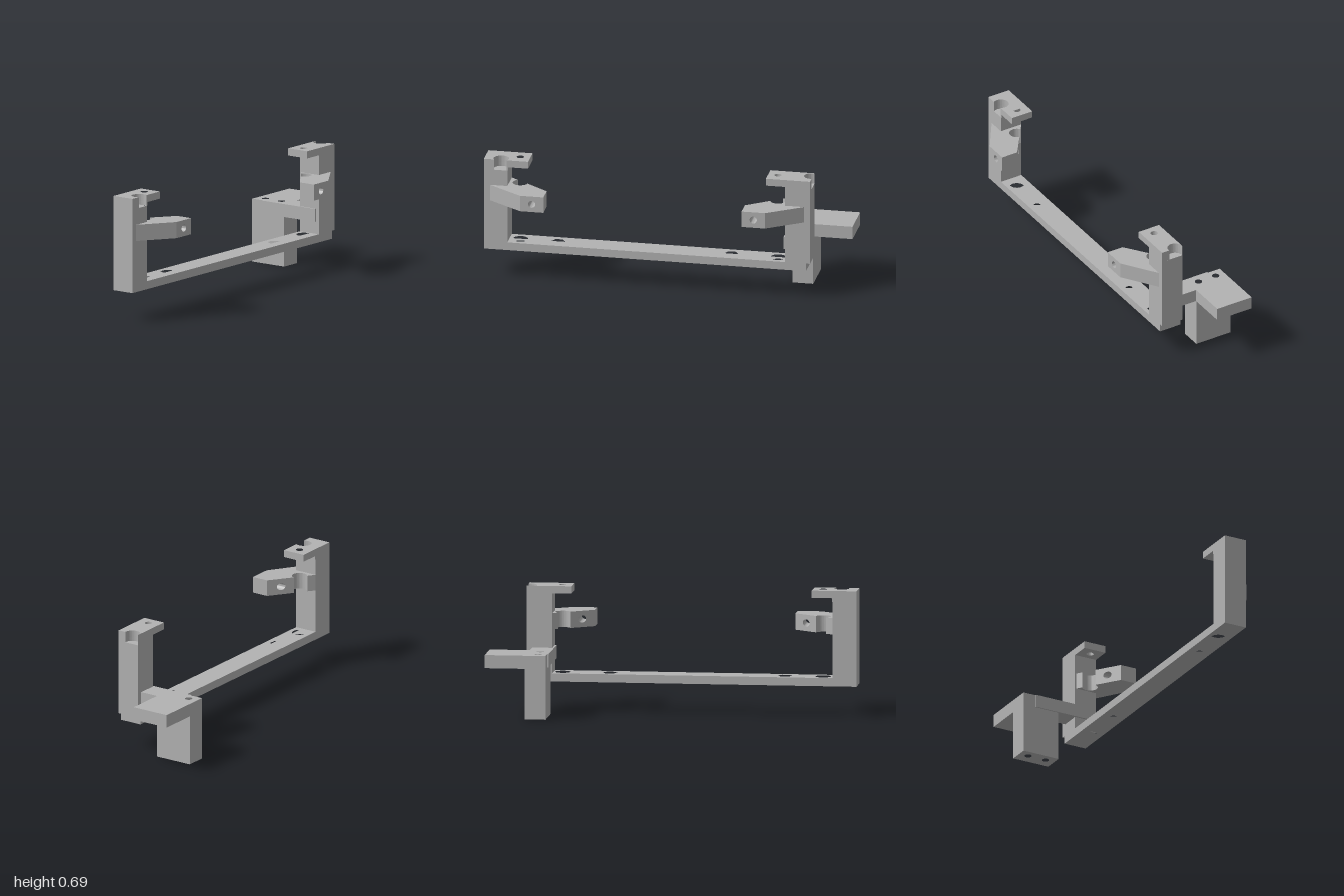
import * as THREE from 'three';
import { toCreasedNormals } from 'three/addons/utils/BufferGeometryUtils.js';

const X0 = 0.03, X1 = 0.16, XC = 0.095; // bar sides and centre line
const ACCESS_R = 0.042, SCREW_R = 0.02;

// Points [x, z] along an arc
function arc(cx, cz, r, a0, a1, n = 28) {
  return Array.from({ length: n + 1 }, (_, i) => {
    const a = a0 + (a1 - a0) * i / n;
    return [cx + r * Math.cos(a), cz + r * Math.sin(a)];
  });
}
const circle = (cx, cz, r, n = 28) => arc(cx, cz, r, 0, 2 * Math.PI, n).slice(0, n);
const hexagon = (cx, cz, r) => arc(cx, cz, r, Math.PI / 2, Math.PI * 2.5, 6).slice(0, 6);
const rect = (x0, x1, z0, z1) => [[x0, z0], [x1, z0], [x1, z1], [x0, z1]];
const toVectors = (pts) => pts.map(([a, b]) => new THREE.Vector2(a, -b));

export function createModel() {
  const model = new THREE.Group();
  model.name = 'mountingBracket';
  const grey = new THREE.MeshStandardMaterial({ color: 0xb2b2b2 });
  grey.name = 'grey';

  function add(name, geometry, parent = model) {
    const mesh = new THREE.Mesh(toCreasedNormals(geometry, 0.5), grey);
    mesh.name = name;
    parent.add(mesh);
  }
  function outline(pts, holes) {
    const shape = new THREE.Shape(toVectors(pts));
    holes.forEach((h) => shape.holes.push(new THREE.Path(toVectors(h))));
    return shape;
  }
  // Plan outline in x, z raised from y0 to y1
  function slab(name, y0, y1, pts, holes = [], parent = model) {
    const g = new THREE.ExtrudeGeometry(outline(pts, holes), { depth: y1 - y0, bevelEnabled: false });
    g.rotateX(-Math.PI / 2).translate(0, y0, 0);
    add(name, g, parent);
  }

  // Long base bar: nut pockets above, screw holes below
  const bar = rect(X0, X1, -0.787, 1);
  const access = [0.81, -0.62].map((z) => circle(XC, z, ACCESS_R));
  const nuts = [0.6, -0.36];
  slab('baseBarLower', 0.165, 0.185, bar, [...access, ...nuts.map((z) => circle(XC, z, SCREW_R))]);
  slab('baseBarUpper', 0.185, 0.21, bar, [...access, ...nuts.map((z) => hexagon(XC, z, 0.04))]);

  // Front post, its notched cap and overhanging lip
  const frontNotch = arc(0.136, 0.908, 0.042, -0.963, 0.963 - 2 * Math.PI);
  const frontCap = (z) => [[X0, z], [X1, z], ...frontNotch, [X1, 1], [X0, 1]];
  slab('frontPost', 0.21, 0.63, rect(X0, X1, 0.87, 1));
  slab('frontPostCap', 0.63, 0.65, frontCap(0.865));
  slab('frontLip', 0.65, 0.69, frontCap(0.755), [circle(XC, 0.81, SCREW_R)]);

  // Back post, notched through its rear face
  const backNotch = arc(0.0735, -0.803, 0.042, -0.167, Math.PI + 0.167);
  const backCap = (z) => [[X0, z], [X1, z], [X1, -0.81], ...backNotch, [X0, -0.81]];
  slab('backPost', 0.21, 0.63, rect(X0, X1, -0.81, -0.67));
  slab('backPostCap', 0.63, 0.65, backCap(-0.67));
  slab('backLip', 0.65, 0.69, backCap(-0.565), [circle(XC, -0.62, SCREW_R)]);

  // Angled arms, the back one mirrored in z
  const inner = (z) => 0.195 - (z - 0.645) * 0.733;
  function arm(name, flip) {
    const group = new THREE.Group();
    group.name = name;
    model.add(group);
    const mapZ = (z) => (flip ? 0.19 - z : z); // its own inverse
    const place = (pts) => pts.map(([x, z]) => [x, mapZ(z)]);
    const y0 = 0.45, y1 = 0.54, za = 0.675, zb = 0.745;

    slab('armTip', y0, y1, place([[inner(0.645), 0.645], [0.29, 0.645], [0.29, za], [inner(za), za]]), [], group);

    // Root with a rounded groove where the access hole passes
    slab('armRoot', y0, y1, place([
      [inner(zb), zb], ...arc(XC, 0.81, ACCESS_R, -1.354, 2.618),
      [X0, 0.87], [X0, 0.9], [X1, 0.967], [0.29, 0.775], [0.29, zb],
    ]), [], group);

    // Drilled middle: sheared so its inner end follows the slope
    const face = new THREE.Shape([[za, y0], [zb, y0], [zb, y1], [za, y1]]
      .map(([z, y]) => new THREE.Vector2(-mapZ(z), y)));
    face.holes.push(new THREE.Path().absarc(-mapZ(0.71), 0.495, SCREW_R, 0, 2 * Math.PI));
    const g = new THREE.ExtrudeGeometry(face, { depth: 1, bevelEnabled: false, curveSegments: 28 });
    g.rotateY(Math.PI / 2);
    const p = g.attributes.position;
    for (let i = 0; i < p.count; i++) {
      p.setX(i, p.getX(i) > 0.5 ? 0.29 : inner(mapZ(p.getZ(i))));
    }
    g.computeVertexNormals();
    add('armDrilledSection', g, group);
  }
  arm('frontArm', false);
  arm('backArm', true);

  // Side bracket: shelf joined to the back post, and drilled leg
  const legHoles = [-0.24, -0.13].map((x) => circle(x, -0.715, SCREW_R));
  slab('sideShelf', 0.278, 0.35, [
    [-0.295, -1], [-0.075, -1], [-0.075, -0.78], [0.14, -0.78],
    [0.14, -0.66], [-0.22, -0.66], [-0.22, -0.667], [-0.295, -0.667],
  ], legHoles);
  slab('sideLeg', 0, 0.278, rect(-0.295, -0.075, -0.782, -0.667), legHoles);

  return model;
}
